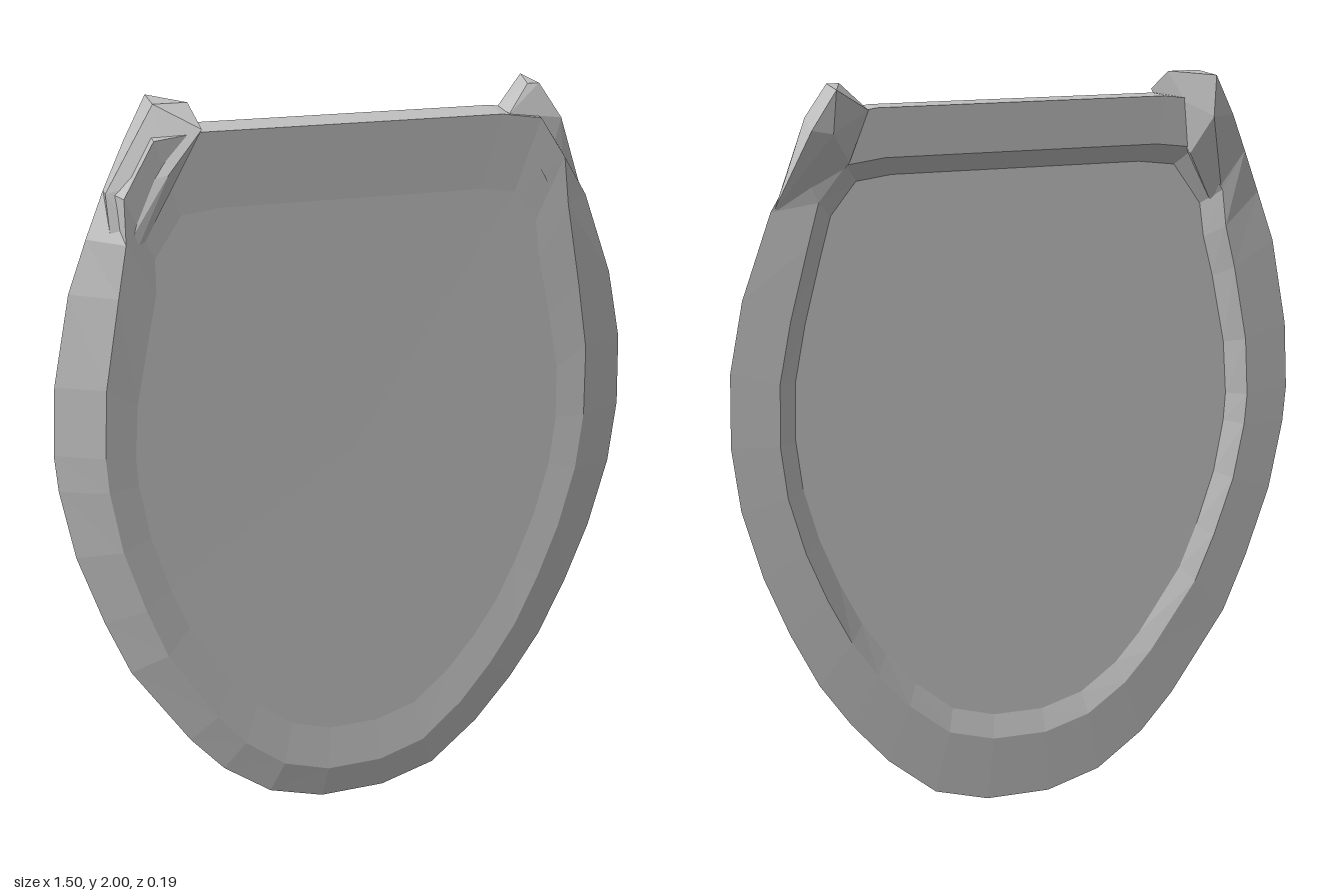
import * as THREE from 'three';
import { ConvexGeometry } from 'three/addons/geometries/ConvexGeometry.js';

// Outer edge, counter-clockwise from the bottom
const OUTLINE = [
  [0.1, 0.01], [0.25, 0.06], [0.38, 0.18], [0.48, 0.31], [0.56, 0.44], [0.63, 0.6], [0.69, 0.77],
  [0.735, 0.96], [0.75, 1.13], [0.74, 1.32], [0.7, 1.5], [0.62, 1.71], [0.55, 1.83], [0.46, 1.93],
  [0.36, 1.945], [0.12, 1.945], [-0.12, 1.945], [-0.37, 1.945], [-0.48, 1.93], [-0.59, 1.8],
  [-0.64, 1.69], [-0.69, 1.56], [-0.74, 1.33], [-0.755, 1.15], [-0.75, 1.05], [-0.72, 0.86],
  [-0.66, 0.66], [-0.6, 0.5], [-0.45, 0.26], [-0.36, 0.15], [-0.23, 0.05], [-0.08, 0.005],
];
const MID = 1.1;
const faceZ = (y) => 0.036 + 0.024 * y;

// A ring scaled from the outline, with separate scales below and above the middle
function ring(sx, sxTop, low, high, depth) {
  return OUTLINE.map(([x, y]) => {
    const t = THREE.MathUtils.smoothstep(y, 1.6, 1.945);
    const py = MID + (y - MID) * (y < MID ? low : high);
    return [x * THREE.MathUtils.lerp(sx, sxTop, t), py, depth(py)];
  });
}

// Joins rings and closes the last one with a fan to its centre
function shell(rings, centre, flip) {
  const n = OUTLINE.length;
  const index = [];
  const tri = (a, b, c) => (flip ? index.push(a, c, b) : index.push(a, b, c));
  for (let r = 0; r < rings.length; r++) {
    for (let i = 0; i < n; i++) {
      const a = r * n + i, b = r * n + ((i + 1) % n);
      if (r === rings.length - 1) tri(a, b, rings.length * n);
      else { tri(a, b, b + n); tri(a, b + n, a + n); }
    }
  }
  const g = new THREE.BufferGeometry();
  g.setAttribute('position', new THREE.Float32BufferAttribute([...rings.flat(2), ...centre], 3));
  g.setIndex(index);
  g.computeVertexNormals();
  return g;
}

export function createModel() {
  const group = new THREE.Group();
  const grey = new THREE.MeshStandardMaterial({ color: 0xc0c0c0, flatShading: true });
  grey.name = 'light grey';
  const add = (name, geometry) => {
    const mesh = new THREE.Mesh(geometry, grey);
    mesh.name = name;
    group.add(mesh);
  };

  const edge = ring(1, 1, 1, 1, (y) => (y > 1.75 ? -0.01 : 0.008));

  // Bevelled front with a shallow dish
  add('lidFront', shell([
    edge,
    ring(0.84, 1, 0.9, 0.996, faceZ),
    ring(0.74, 0.88, 0.78, 0.78, (y) => faceZ(y) - 0.01),
  ], [0, MID, faceZ(MID) - 0.012], false));

  // Flat back rim around a recessed panel
  add('lidBack', shell([
    edge,
    ring(0.84, 0.95, 0.82, 0.86, () => -0.004),
    ring(0.78, 0.88, 0.76, 0.8, (y) => faceZ(y) - 0.027),
  ], [0, MID, faceZ(MID) - 0.027], true));

  // Faceted hinge lugs on the top corners, reaching backwards
  const lug = (name, points) =>
    add(name, new ConvexGeometry(points.map((p) => new THREE.Vector3(...p))));
  lug('leftHinge', [
    [0.44, 2, 0.03], [0.47, 2, 0.03], [0.47, 2, -0.095], [0.53, 1.91, -0.09], [0.48, 1.9, -0.09],
    [0.58, 1.8, -0.01], [0.61, 1.72, 0], [0.38, 1.94, -0.01], [0.38, 1.94, 0.075],
    [0.52, 1.92, 0.06], [0.48, 1.78, 0.075], [0.54, 1.66, 0.065], [0.43, 1.82, -0.01],
  ]);
  lug('rightHinge', [
    [-0.47, 2, 0.03], [-0.39, 2, 0.03], [-0.47, 2, -0.085], [-0.53, 1.9, -0.06], [-0.47, 1.9, -0.08],
    [-0.59, 1.8, -0.01], [-0.59, 1.8, 0.03], [-0.37, 1.95, 0.093], [-0.42, 1.93, -0.01],
    [-0.53, 1.72, 0.075], [-0.58, 1.56, 0.058], [-0.45, 1.85, 0.09], [-0.44, 1.8, -0.01],
  ]);
  return group;
}
